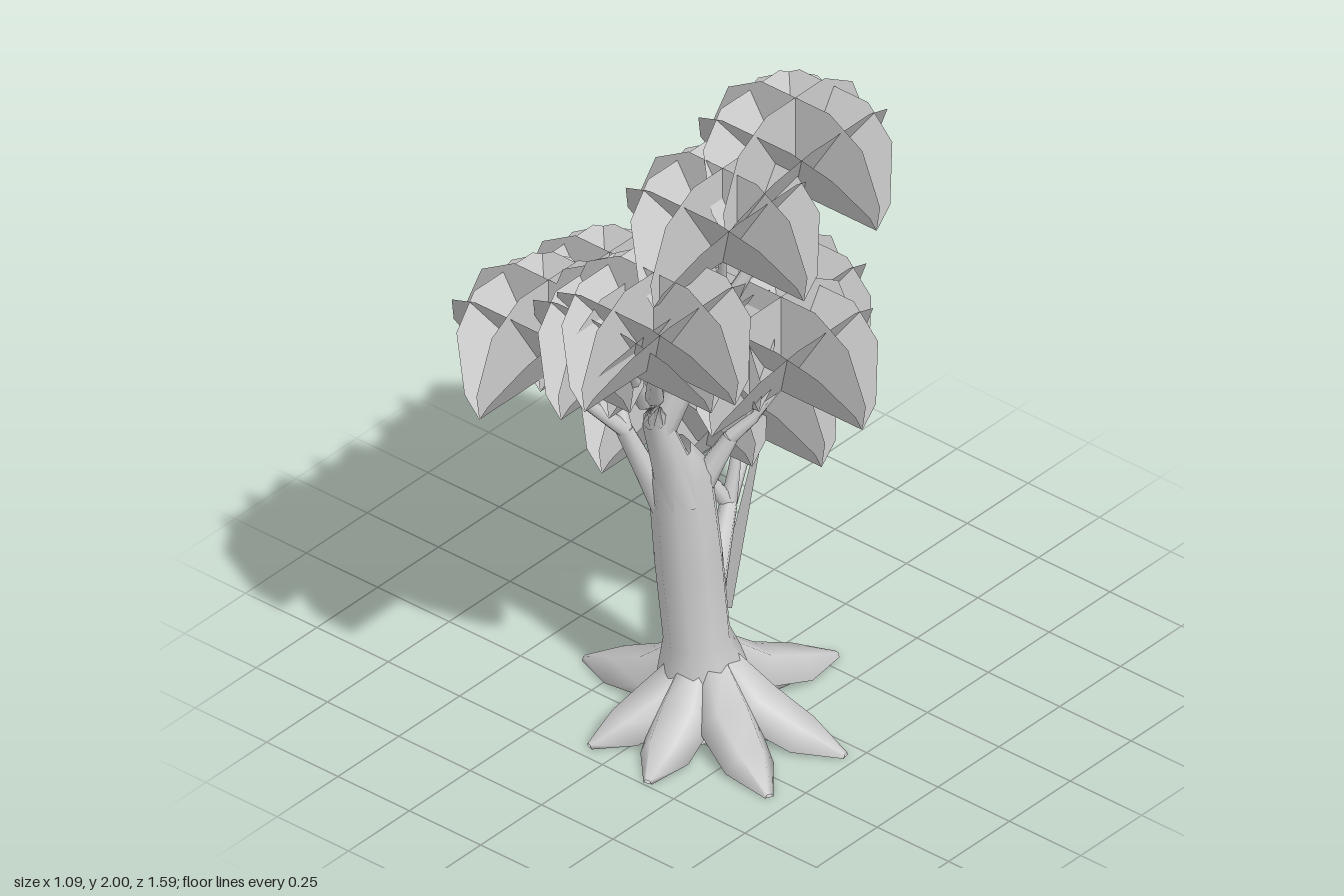
import * as THREE from 'three';

const bark = new THREE.MeshStandardMaterial({ color: 0xcccccc, side: THREE.DoubleSide });
const leaf = new THREE.MeshStandardMaterial({ color: 0xcccccc, side: THREE.DoubleSide, flatShading: true });
const vec = p => new THREE.Vector3(...p);

// Tapered limb: a ring of the given radius at each point, kept above the ground
function limb(name, centers, radii, sides = 7) {
  const pos = [], idx = [];
  centers.forEach((c, i) => {
    const dir = centers[Math.min(i + 1, centers.length - 1)].clone().sub(centers[Math.max(i - 1, 0)]).normalize();
    const ref = Math.abs(dir.y) > 0.8 ? new THREE.Vector3(0, 0, 1) : new THREE.Vector3(0, 1, 0);
    const u = new THREE.Vector3().crossVectors(ref, dir).normalize();
    const v = new THREE.Vector3().crossVectors(dir, u);
    for (let j = 0; j < sides; j++) {
      const a = (j / sides) * Math.PI * 2;
      const p = c.clone().addScaledVector(u, Math.cos(a) * radii[i]).addScaledVector(v, Math.sin(a) * radii[i]);
      pos.push(p.x, Math.max(p.y, 0), p.z);
      if (i > 0) {
        const k = (j + 1) % sides, b = (i - 1) * sides, t = i * sides;
        idx.push(b + j, b + k, t + k, b + j, t + k, t + j);
      }
    }
  });
  const geo = new THREE.BufferGeometry();
  geo.setAttribute('position', new THREE.Float32BufferAttribute(pos, 3));
  geo.setIndex(idx);
  geo.computeVertexNormals();
  const mesh = new THREE.Mesh(geo, bark);
  mesh.name = name;
  return mesh;
}

// Half-dome leaf card
const half = [[0.285, 0], [0.297, 0.08], [0.235, 0.235], [0.12, 0.304]];
const outline = [...half, ...half.map(([x, y]) => [-x, y]).reverse()];
const cardGeo = new THREE.ShapeGeometry(new THREE.Shape(outline.map(p => new THREE.Vector2(...p))));

// Two upright crossed cards and four leaning outward, all sharing one base cross
function leafCluster(base) {
  const group = new THREE.Group();
  group.name = 'leafCluster';
  for (let k = 0; k < 6; k++) {
    const card = new THREE.Mesh(cardGeo, leaf);
    card.name = k < 4 ? 'leaningLeafCard' : 'uprightLeafCard';
    card.rotation.order = 'YXZ';
    card.rotation.set(k < 4 ? 0.55 : 0, k * Math.PI / 2, 0);
    group.add(card);
  }
  group.position.copy(base);
  return group;
}

// A limb runs from the trunk to a fork, then one branch reaches each leaf cluster
const limbs = [
  { name: 'frontLimb', from: [0.02, 0.72, 0.19], fork: [0, 1.0, 0.28], r: 0.07,
    clusters: [[0.18, 1.365, 0.5], [0.08, 1.285, 0.48], [-0.05, 1.05, 0.13]] },
  { name: 'rightLimb', from: [0, 0.6, 0.19], fork: [-0.11, 0.92, 0.28], r: 0.045,
    clusters: [[-0.205, 1.16, 0.48], [-0.205, 1.12, 0.23]] },
  { name: 'leftLimb', from: [0.04, 0.74, 0.15], fork: [0.1, 0.89, 0.09], r: 0.04,
    clusters: [[0.2, 1.035, 0]] },
  { name: 'crownLimb', from: [0.0, 0.97, 0.26], fork: [0.11, 1.32, 0.14], r: 0.045,
    clusters: [[0.2, 1.575, 0.24], [0.25, 1.7, 0]] },
  { name: 'backLimb', from: [0.02, 0.26, 0.1], fork: [-0.12, 0.45, -0.16], r: 0.045,
    clusters: [[-0.22, 0.71, -0.04], [-0.25, 0.72, -0.5], [-0.13, 0.655, -0.22]] },
];

export function createModel() {
  const tree = new THREE.Group();
  tree.name = 'tree';

  // Trunk with flared foot
  const trunkLine = [[0.045, 0, 0.12], [0.04, 0.12, 0.13], [0.03, 0.25, 0.145], [0.015, 0.5, 0.16], [0, 0.78, 0.18], [0.01, 0.88, 0.22]];
  tree.add(limb('trunk', trunkLine.map(vec), [0.17, 0.13, 0.092, 0.094, 0.088, 0.05], 9));

  // Broad tapering roots spreading over the ground
  const tips = [[0.47, 0.05], [0.44, 0.33], [0.15, 0.49], [-0.08, 0.46], [-0.36, 0.15], [-0.18, -0.12], [0.14, -0.3]];
  const rootLine = [[0.08, 0.19], [0.35, 0.06], [0.7, 0.01], [1, 0]];
  for (const [tx, tz] of tips) {
    const centers = rootLine.map(([t, y]) => vec([0.04 + (tx - 0.04) * t, y, 0.13 + (tz - 0.13) * t]));
    tree.add(limb('root', centers, [0.05, 0.085, 0.07, 0.012], 6));
  }

  // Limbs, branches and foliage
  for (const { name, from, fork, r, clusters } of limbs) {
    const start = vec(from), knot = vec(fork);
    tree.add(limb(name, [start, start.clone().lerp(knot, 0.5), knot], [r, r * 0.75, r * 0.55]));
    for (const c of clusters) {
      const base = vec(c), end = base.clone();
      end.y += 0.02;
      const bend = knot.clone().lerp(end, 0.45);
      bend.y -= 0.015;
      tree.add(limb('branch', [knot, bend, end], [r * 0.52, r * 0.38, 0.01]), leafCluster(base));
    }
  }

  // Thin buttress sheet behind the trunk
  const sheet = new THREE.BufferGeometry().setFromPoints([[0, 0.27, 0.04], [-0.16, 0.06, -0.22], [-0.235, 0.66, -0.48]].map(vec));
  sheet.computeVertexNormals();
  const buttress = new THREE.Mesh(sheet, bark);
  buttress.name = 'buttress';
  tree.add(buttress);
  return tree;
}
